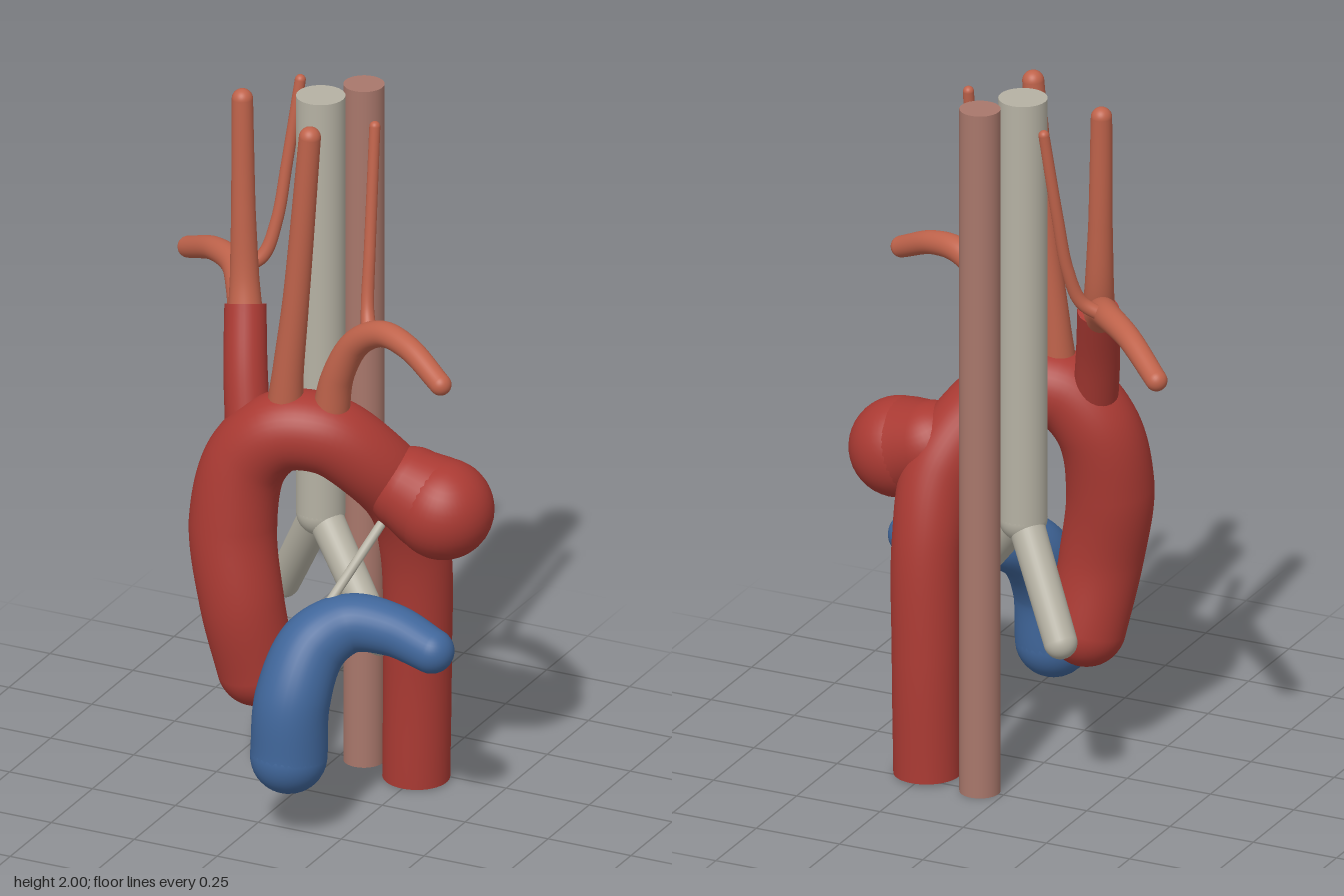
import * as THREE from 'three';
import { mergeGeometries } from 'three/addons/utils/BufferGeometryUtils.js';

const material = (name, color) => {
  const m = new THREE.MeshStandardMaterial({ color });
  m.name = name;
  return m;
};

// Tapered smooth tube through [x, y, z, radius] stations; each end is 'round', 'flat' or open (null)
function vessel(stations, startCap, endCap, steps = 64, sides = 32) {
  const points = stations.map(s => new THREE.Vector3(s[0], s[1], s[2]));
  const curve = new THREE.CatmullRomCurve3(points, false, 'centripetal');
  const tube = new THREE.TubeGeometry(curve, steps, 1, sides);
  const pos = tube.attributes.position;
  const v = new THREE.Vector3();
  for (let i = 0; i <= steps; i++) {
    const centre = curve.getPointAt(i / steps);
    const f = curve.getUtoTmapping(i / steps) * (stations.length - 1);
    const k = Math.min(Math.floor(f), stations.length - 2);
    const r = THREE.MathUtils.lerp(stations[k][3], stations[k + 1][3], f - k);
    for (let j = 0; j <= sides; j++) {
      const n = i * (sides + 1) + j;
      v.fromBufferAttribute(pos, n).sub(centre).multiplyScalar(r).add(centre);
      pos.setXYZ(n, v.x, v.y, v.z);
    }
  }
  const parts = [tube];
  [[startCap, 0], [endCap, 1]].forEach(([cap, u]) => {
    if (!cap) return;
    const s = stations[u ? stations.length - 1 : 0];
    const out = curve.getTangentAt(u).multiplyScalar(u ? 1 : -1);
    const g = cap === 'round' ? new THREE.SphereGeometry(s[3], sides, 20) : new THREE.CircleGeometry(s[3], sides);
    g.applyQuaternion(new THREE.Quaternion().setFromUnitVectors(new THREE.Vector3(0, 0, 1), out));
    parts.push(g.translate(s[0], s[1], s[2]));
  });
  return mergeGeometries(parts);
}

export function createModel() {
  const model = new THREE.Group();
  model.name = 'aorticArchModel';
  const red = material('aorta red', 0xaa3a33);
  const orange = material('artery orange', 0xbf634b);
  const blue = material('pulmonary blue', 0x40669a);
  const grey = material('airway grey', 0xb5b1a3);
  const brown = material('oesophagus brown', 0xa8776b);

  const add = (name, mat, geometry) => {
    const mesh = new THREE.Mesh(geometry, mat);
    mesh.name = name;
    model.add(mesh);
  };

  // Aorta, from its rounded root over the arch to the flat lower end
  add('aorta', red, vessel([
    [-0.085, 0.38, 0.088, 0.108], [-0.115, 0.58, 0.118, 0.115], [-0.148, 0.8, 0.105, 0.12],
    [-0.12, 0.98, 0.08, 0.115], [-0.03, 1.075, 0.06, 0.112], [0.09, 1.075, 0.02, 0.11],
    [0.19, 0.99, -0.04, 0.106], [0.255, 0.86, -0.12, 0.102], [0.265, 0.68, -0.175, 0.096],
    [0.256, 0.35, -0.202, 0.093], [0.25, 0.005, -0.207, 0.092],
  ], 'round', 'flat', 120, 40));

  // Bulge on the side of the arch
  add('aneurysm', red, vessel([[0.3, 0.91, -0.08, 0.12], [0.35, 0.895, -0.073, 0.132], [0.4, 0.88, -0.068, 0.139]],
    'round', 'round', 16, 40));

  // Right-hand trunk and its branches
  add('brachiocephalicTrunk', red, vessel([
    [-0.125, 1.06, 0.06, 0.062], [-0.155, 1.22, 0.015, 0.06], [-0.185, 1.38, -0.045, 0.057],
  ], null, 'flat'));
  add('rightCarotid', orange, vessel([
    [-0.18, 1.35, -0.035, 0.048], [-0.195, 1.45, -0.06, 0.04], [-0.206, 1.65, -0.075, 0.033],
    [-0.214, 1.965, -0.085, 0.029],
  ], null, 'round'));
  add('rightSubclavian', orange, vessel([
    [-0.185, 1.35, -0.04, 0.045], [-0.225, 1.4, -0.1, 0.042], [-0.285, 1.425, -0.18, 0.037],
    [-0.385, 1.415, -0.265, 0.033], [-0.515, 1.355, -0.365, 0.03],
  ], null, 'round'));
  add('rightVertebral', orange, vessel([
    [-0.265, 1.42, -0.165, 0.02], [-0.205, 1.46, -0.19, 0.019], [-0.175, 1.56, -0.215, 0.017],
    [-0.157, 1.72, -0.24, 0.016], [-0.13, 1.965, -0.268, 0.015],
  ], null, 'round'));

  // Left-hand branches
  add('leftCarotid', orange, vessel([
    [-0.015, 1.13, 0.06, 0.052], [-0.005, 1.25, 0.06, 0.043], [0.02, 1.48, 0.06, 0.036],
    [0.063, 1.965, 0.063, 0.03],
  ], null, 'round'));
  add('leftSubclavian', orange, vessel([
    [0.105, 1.13, 0.025, 0.052], [0.13, 1.26, 0.027, 0.044], [0.19, 1.37, 0.035, 0.04],
    [0.28, 1.425, 0.06, 0.036], [0.38, 1.418, 0.1, 0.033], [0.505, 1.36, 0.16, 0.03],
  ], null, 'round'));
  add('leftVertebral', orange, vessel([
    [0.225, 1.4, 0.03, 0.022], [0.203, 1.46, -0.005, 0.018], [0.195, 1.62, -0.035, 0.016],
    [0.188, 1.965, -0.08, 0.015],
  ], null, 'round'));

  // Pulmonary artery bending towards the left
  add('pulmonaryArtery', blue, vessel([
    [0.11, 0.235, 0.286, 0.105], [0.115, 0.4, 0.272, 0.103], [0.14, 0.53, 0.195, 0.095],
    [0.21, 0.578, 0.12, 0.082], [0.33, 0.575, 0.1, 0.072], [0.455, 0.543, 0.113, 0.062],
  ], 'round', 'round', 80));

  // Thin ligament between the arch and the pulmonary artery
  add('ligament', grey, vessel([[0.25, 0.86, -0.07, 0.013], [0.15, 0.62, 0.145, 0.013]], null, null, 4, 16));

  // Windpipe and its two bronchi
  add('trachea', grey, vessel([[0, 0.77, -0.13, 0.067], [0, 2, -0.13, 0.067]], 'round', 'flat', 4));
  add('rightBronchus', grey, vessel([[0, 0.78, -0.13, 0.05], [-0.172, 0.48, -0.252, 0.046]], 'round', 'round', 4));
  add('leftBronchus', grey, vessel([[0, 0.78, -0.13, 0.05], [0.24, 0.485, -0.008, 0.044]], 'round', 'round', 4));

  // Oesophagus
  const oesophagus = new THREE.CylinderGeometry(0.056, 0.056, 2, 32);
  add('oesophagus', brown, oesophagus.translate(0.071, 1, -0.25));

  return model;
}
